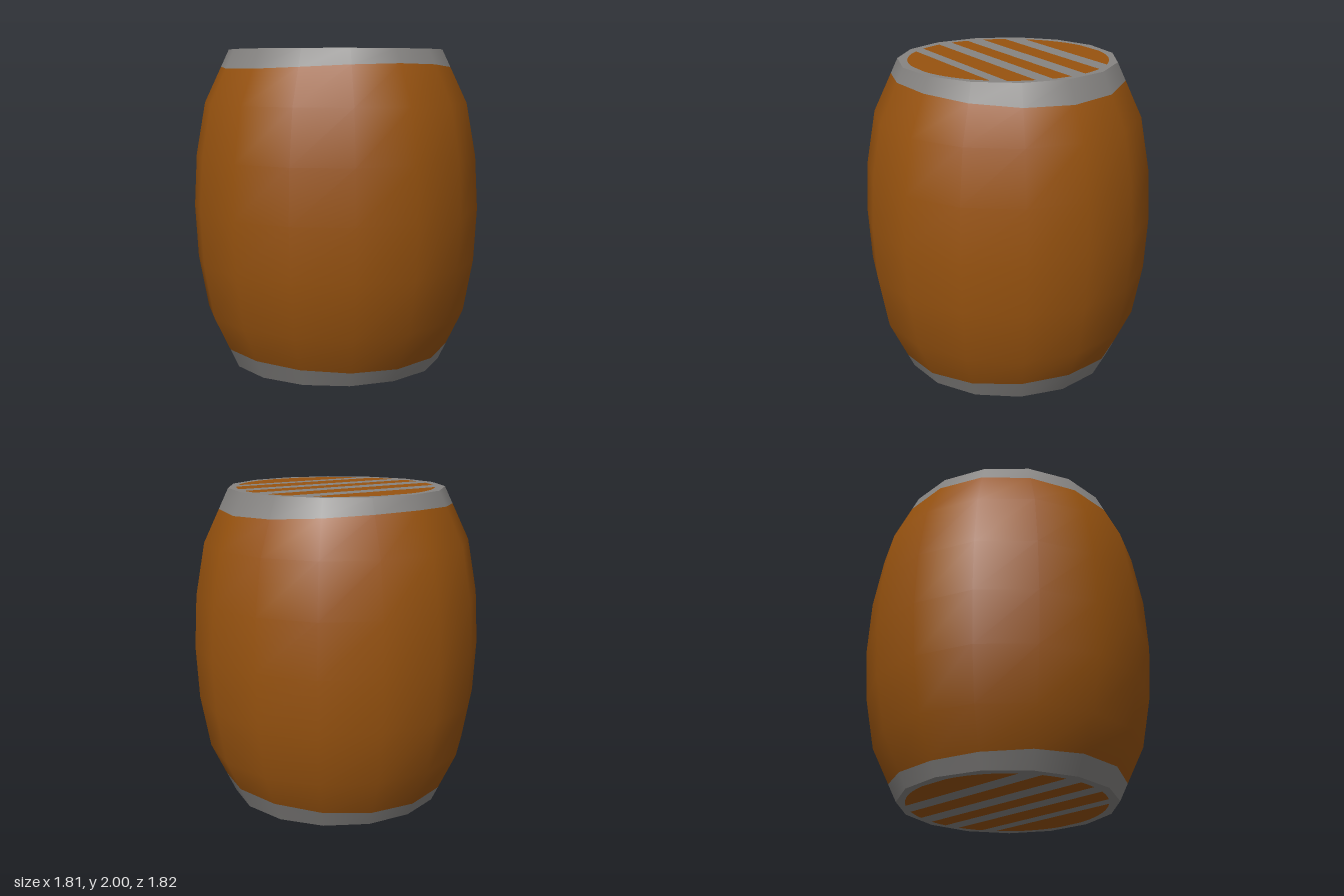
import * as THREE from 'three';

const SIDES = 15;
const CENTER_X = -0.01;
const END_RADIUS = 0.68;
const HEIGHT = 2;

const wood = new THREE.MeshStandardMaterial({ color: 0x98530f });
wood.name = 'wood brown';
const iron = new THREE.MeshStandardMaterial({ color: 0x868482 });
iron.name = 'iron grey';

// Bulging profile as [radius, height], bottom to top
const profile = [
  [END_RADIUS, 0], [0.837, 1 / 3], [0.897, 2 / 3], [0.915, 1],
  [0.897, 4 / 3], [0.837, 5 / 3], [END_RADIUS, HEIGHT],
];

// Slightly uneven depth of the painted end bands around the barrel
const bandDepth = (a) => 0.107 + 0.02 * Math.cos(2 * a) + 0.007 * Math.cos(a);

// Radius of the straight end segment at a given distance from the rim
const bandRadius = (d) => END_RADIUS + (0.837 - END_RADIUS) * d * 3;

// Smooth side wall: rings joined in a loop, one material group per row of faces
function createSide() {
  const rings = [
    () => profile[0],
    (a) => [bandRadius(bandDepth(a)), bandDepth(a)],
    ...profile.slice(1, -1).map((p) => () => p),
    (a) => [bandRadius(bandDepth(a)), HEIGHT - bandDepth(a)],
    () => profile[profile.length - 1],
  ];
  const positions = [];
  for (const ring of rings) {
    for (let i = 0; i < SIDES; i++) {
      const a = (i / SIDES) * Math.PI * 2;
      const [r, y] = ring(a);
      positions.push(CENTER_X + r * Math.cos(a), y, r * Math.sin(a));
    }
  }
  const geometry = new THREE.BufferGeometry();
  const index = [];
  for (let j = 0; j < rings.length - 1; j++) {
    const isBand = j === 0 || j === rings.length - 2;
    geometry.addGroup(index.length, SIDES * 6, isBand ? 1 : 0);
    for (let i = 0; i < SIDES; i++) {
      const next = (i + 1) % SIDES;
      const a = j * SIDES + i;
      const b = j * SIDES + next;
      index.push(a, a + SIDES, b, b, a + SIDES, b + SIDES);
    }
  }
  geometry.setAttribute('position', new THREE.Float32BufferAttribute(positions, 3));
  geometry.setIndex(index);
  geometry.computeVertexNormals();
  const side = new THREE.Mesh(geometry, [wood, iron]);
  side.name = 'barrelSide';
  return side;
}

// Wooden slats on the lids as [z start, z end], clipped by a circle
const SLAT_RADIUS = 0.62;
const slats = [[-0.612, -0.41], [-0.3, -0.16], [-0.05, 0.072], [0.172, 0.322], [0.4, 0.615]];

function slatPoints([z0, z1], sign) {
  const a0 = Math.asin(z0 / SLAT_RADIUS);
  const a1 = Math.asin(z1 / SLAT_RADIUS);
  const points = [];
  const steps = 10;
  for (const side of [1, -1]) {
    for (let i = 0; i <= steps; i++) {
      const t = side > 0 ? i / steps : 1 - i / steps;
      const a = a0 + (a1 - a0) * t;
      points.push(new THREE.Vector2(side * SLAT_RADIUS * Math.cos(a) - 0.003, sign * SLAT_RADIUS * Math.sin(a)));
    }
  }
  return points;
}

// Flat lid: an iron plate with openings, filled by the wooden slats
function createLid(name, y, facing) {
  const lid = new THREE.Group();
  lid.name = name;
  const rim = [];
  for (let i = 0; i < SIDES; i++) {
    const a = (i / SIDES) * Math.PI * 2;
    rim.push(new THREE.Vector2(CENTER_X + END_RADIUS * Math.cos(a), -facing * END_RADIUS * Math.sin(a)));
  }
  const plate = new THREE.Shape(rim);
  const fills = slats.map((s) => slatPoints(s, -facing));
  plate.holes = fills.map((points) => new THREE.Path(points));

  const add = (shape, material, partName) => {
    const geometry = new THREE.ShapeGeometry(shape);
    geometry.rotateX((-facing * Math.PI) / 2);
    const mesh = new THREE.Mesh(geometry, material);
    mesh.name = partName;
    lid.add(mesh);
  };
  add(plate, iron, 'lidPlate');
  fills.forEach((points) => add(new THREE.Shape(points), wood, 'lidSlat'));
  lid.position.y = y;
  return lid;
}

export function createModel() {
  const barrel = new THREE.Group();
  barrel.name = 'barrel';
  barrel.add(createSide(), createLid('topLid', HEIGHT, 1), createLid('bottomLid', 0, -1));
  return barrel;
}
